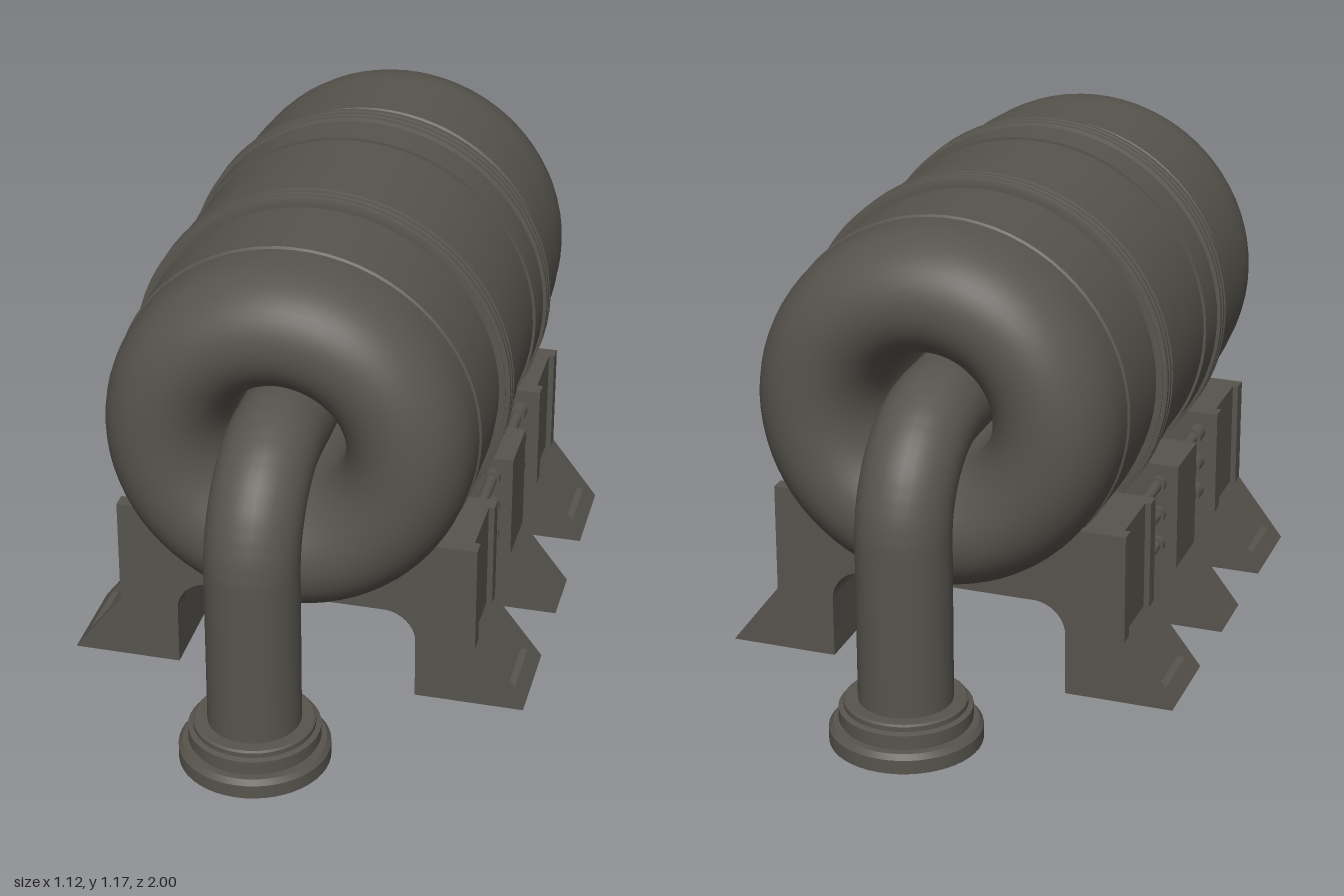
import * as THREE from 'three';
import { toCreasedNormals } from 'three/addons/utils/BufferGeometryUtils.js';

const TANK_Y = 0.715;
const PIPE_X = -0.015;
const PIPE_Z = 0.82;

export function createModel() {
  const model = new THREE.Group();
  model.name = 'storageTank';
  const metal = new THREE.MeshStandardMaterial({ color: 0x57544d });
  metal.name = 'dark metal';

  const add = (name, geometry, x = 0, y = 0, z = 0) => {
    const mesh = new THREE.Mesh(geometry, metal);
    mesh.name = name;
    mesh.position.set(x, y, z);
    model.add(mesh);
    return mesh;
  };
  const lathe = (points, segments) =>
    toCreasedNormals(new THREE.LatheGeometry(points.map(([r, h]) => new THREE.Vector2(r, h)), segments), 0.5);

  // Tank: outer wall with bands, rounded ends and a bore along the axis
  const half = []; // from the middle of the wall to the bore, at +z
  half.push([0.445, 0.1], [0.452, 0.1], [0.452, 0.198]);
  for (const z of [0.2, 0.222, 0.244]) {
    half.push([0.45, z], [0.46, z + 0.003], [0.46, z + 0.015], [0.45, z + 0.018]);
  }
  half.push([0.45, 0.265], [0.434, 0.265], [0.434, 0.312], [0.439, 0.316], [0.439, 0.485], [0.434, 0.489]);
  for (let i = 0; i <= 24; i++) {
    const a = (i / 24) * Math.PI;
    half.push([0.287 + 0.147 * Math.cos(a), 0.53 + 0.185 * Math.sin(a) ** 0.92]);
  }
  const back = half.map(([r, z]) => [r, -z]).reverse();
  const tank = lathe([...back, ...half, back[0]], 72);
  tank.rotateX(Math.PI / 2);
  add('tank', tank, 0, TANK_Y, 0);

  // Pipe: rises from one foot, runs through the bore and drops to the other
  const p = (y, z) => new THREE.Vector3(PIPE_X, y, z);
  const bend = (sign, reverse) => {
    const pts = [];
    for (let i = 0; i <= 16; i++) {
      const a = (i / 16) * Math.PI / 2;
      pts.push(p(0.5 + 0.23 * Math.sin(a), sign * (0.59 + 0.23 * Math.cos(a))));
    }
    return reverse ? pts.reverse() : pts;
  };
  const path = new THREE.CurvePath();
  const route = [p(0.05, PIPE_Z), ...bend(1, false), ...bend(-1, true), p(0.05, -PIPE_Z)];
  for (let i = 1; i < route.length; i++) path.add(new THREE.LineCurve3(route[i - 1], route[i]));
  add('pipe', new THREE.TubeGeometry(path, 200, 0.11, 32, false));

  // Stepped flanges under the pipe ends
  const flange = [
    [0, 0], [0.178, 0], [0.178, 0.034], [0.168, 0.046], [0.15, 0.046], [0.15, 0.054],
    [0.155, 0.054], [0.155, 0.084], [0.143, 0.088], [0.143, 0.1], [0.138, 0.104], [0, 0.104],
  ];
  for (const s of [1, -1]) {
    add(s > 0 ? 'frontFlange' : 'backFlange', lathe(flange, 48), PIPE_X, 0, s * PIPE_Z);
  }

  // Saddle outline: two splayed feet, an arched underside and a cradle for the tank
  const saddle = (outer, depth) => {
    const shape = new THREE.Shape();
    shape.moveTo(0.295, 0.003);
    outer.forEach(([x, y]) => shape.lineTo(x, y));
    const r = 0.43;
    const a = Math.asin((0.43 - TANK_Y) / r);
    shape.absarc(0, TANK_Y, r, a, -Math.PI - a, true);
    [...outer].reverse().forEach(([x, y]) => shape.lineTo(-x, y));
    shape.lineTo(-0.295, 0.003);
    shape.lineTo(-0.295, 0.155);
    shape.absarc(-0.215, 0.155, 0.08, Math.PI, Math.PI / 2, true);
    shape.lineTo(0.215, 0.235);
    shape.absarc(0.215, 0.155, 0.08, Math.PI / 2, 0, true);
    shape.closePath();
    const g = new THREE.ExtrudeGeometry(shape, { depth, bevelEnabled: false, curveSegments: 24 });
    g.translate(0, 0, -depth / 2);
    return toCreasedNormals(g, 0.5);
  };
  const full = [[0.56, 0.003], [0.44, 0.16], [0.44, 0.43]];
  const recessed = [[0.56, 0.003], [0.532, 0.04], [0.515, 0.042], [0.426, 0.16], [0.426, 0.43]];

  add('middleSaddle', saddle(full, 0.16));
  for (const s of [1, -1]) {
    const end = s > 0 ? 'front' : 'back';
    add(end + 'Saddle', saddle(recessed, 0.165), 0, 0, s * 0.39);
    for (const d of [-0.1, 0.1]) add(end + 'SaddleRim', saddle(full, 0.038), 0, 0, s * 0.39 + d);

    // Tie rods with end collars between the saddles
    for (const side of [1, -1]) {
      for (const y of [0.38, 0.3, 0.22]) {
        const bar = (name, radius, length, z) => {
          const g = new THREE.CylinderGeometry(radius, radius, length, 16);
          g.rotateX(Math.PI / 2);
          add(name, g, side * 0.39, y, s * z);
        };
        bar('tieRod', 0.014, 0.2, 0.175);
        bar('rodCollar', 0.021, 0.02, 0.088);
        bar('rodCollar', 0.021, 0.045, 0.243);
      }
    }
  }
  return model;
}
